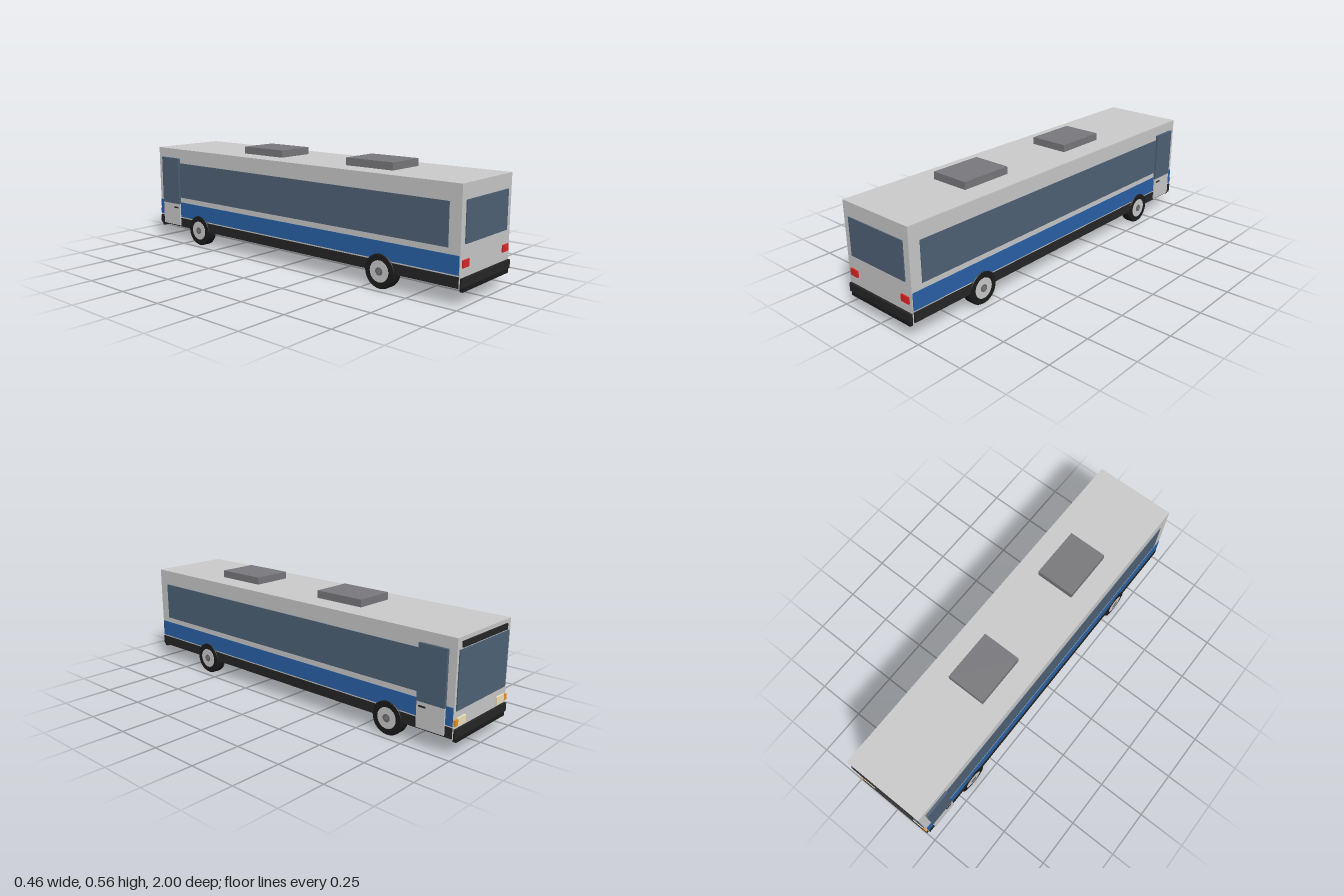
import * as THREE from 'three';

const mat = (color) => new THREE.MeshStandardMaterial({ color });

export function createModel() {
  const bus = new THREE.Group();
  bus.name = 'cityBus';

  const grey = mat(0xcccccc), glass = mat(0x4f6378), blue = mat(0x2a62a8);
  const black = mat(0x262626), tyreBlack = mat(0x1b1b1b), roofGrey = mat(0x7a7a7e);
  const red = mat(0xe02626), cream = mat(0xf2e6c0), amber = mat(0xe8952a), hubGrey = mat(0x6a6c70);

  // Box given by its minimum and maximum corners
  function box(name, material, x0, x1, y0, y1, z0, z1, parent = bus) {
    const mesh = new THREE.Mesh(new THREE.BoxGeometry(x1 - x0, y1 - y0, z1 - z0), material);
    mesh.position.set((x0 + x1) / 2, (y0 + y1) / 2, (z0 + z1) / 2);
    mesh.name = name;
    parent.add(mesh);
    return mesh;
  }

  // Main shell and roof units
  box('body', grey, -0.214, 0.214, 0.085, 0.523, -0.988, 0.988);
  for (const z of [0.43, -0.26]) {
    box('roofUnit', roofGrey, -0.102, 0.102, 0.52, 0.56, z - 0.136, z + 0.136);
  }

  // Wheel built with its outer face toward +x
  const tyreProfile = [
    [0.05, -0.027], [0.078, -0.027], [0.083, -0.022], [0.083, 0.02], [0.078, 0.027], [0.05, 0.027],
  ].map(([r, y]) => new THREE.Vector2(r, y));
  const discs = [
    ['innerDisc', 0.0505, 0.052, -0.001, tyreBlack],
    ['rim', 0.051, 0.004, 0.0265, grey],
    ['hubRing', 0.019, 0.003, 0.029, hubGrey],
    ['hubCap', 0.01, 0.003, 0.0305, roofGrey],
  ];
  function makeWheel() {
    const wheel = new THREE.Group();
    wheel.name = 'wheel';
    const tyreMat = tyreBlack.clone();
    tyreMat.flatShading = true;
    const tyre = new THREE.Mesh(new THREE.LatheGeometry(tyreProfile, 28), tyreMat);
    tyre.name = 'tyre';
    tyre.rotation.z = -Math.PI / 2;
    wheel.add(tyre);
    for (const [name, radius, depth, x, material] of discs) {
      const disc = new THREE.Mesh(new THREE.CylinderGeometry(radius, radius, depth, 28), material);
      disc.name = name;
      disc.rotation.z = -Math.PI / 2;
      disc.position.x = x;
      wheel.add(disc);
    }
    return wheel;
  }

  // Each side: trim, windows, door and wheels
  for (const side of [1, -1]) {
    const group = new THREE.Group();
    group.name = side > 0 ? 'leftSide' : 'rightSide';
    bus.add(group);
    const panel = (name, material, x, y0, y1, z0, z1) => {
      const a = side * 0.205, b = side * x;
      box(name, material, Math.min(a, b), Math.max(a, b), y0, y1, z0, z1, group);
    };
    panel('sideWindow', glass, 0.217, 0.25, 0.445, -0.82, 0.93);
    panel('stripe', blue, 0.217, 0.139, 0.222, -0.985, 0.985);
    panel('skirt', black, 0.218, 0.083, 0.132, -0.985, 0.985);
    panel('doorPanel', grey, 0.225, 0.09, 0.212, -0.95, -0.808);
    panel('doorGlass', glass, 0.227, 0.212, 0.471, -0.95, -0.808);
    panel('doorHandle', black, 0.229, 0.188, 0.195, -0.855, -0.82);
    for (const z of [0.585, -0.65]) {
      const wheel = makeWheel();
      wheel.position.set(side * 0.194, 0.083, z);
      if (side < 0) wheel.rotation.y = Math.PI;
      group.add(wheel);
    }
  }

  // End with the tail lamps
  box('tailWindow', glass, -0.18, 0.18, 0.267, 0.453, 0.98, 0.993);
  for (const s of [1, -1]) {
    box('tailLamp', red, s * 0.173 - 0.025, s * 0.173 + 0.025, 0.168, 0.201, 0.98, 0.995);
  }

  // End with the windscreen and headlamps
  box('windscreen', glass, -0.2, 0.2, 0.205, 0.47, -0.993, -0.98);
  box('destinationPanel', black, -0.18, 0.18, 0.477, 0.504, -0.995, -0.98);
  for (const s of [1, -1]) {
    box('headlamp', cream, s * 0.16 - 0.031, s * 0.16 + 0.031, 0.136, 0.172, -0.996, -0.98);
    box('turnSignal', amber, s * 0.202 - 0.011, s * 0.202 + 0.011, 0.14, 0.168, -0.997, -0.98);
  }

  // Stepped bumpers at both ends
  for (const s of [1, -1]) {
    const z0 = s > 0 ? 0.98 : -1, z1 = z0 + 0.02;
    box('bumper', black, -0.21, 0.21, 0.085, 0.125, z0, z1);
    box('bumperLip', tyreBlack, -0.201, 0.201, 0.065, 0.087, z0 + 0.002, z1 - 0.002);
  }
  return bus;
}
